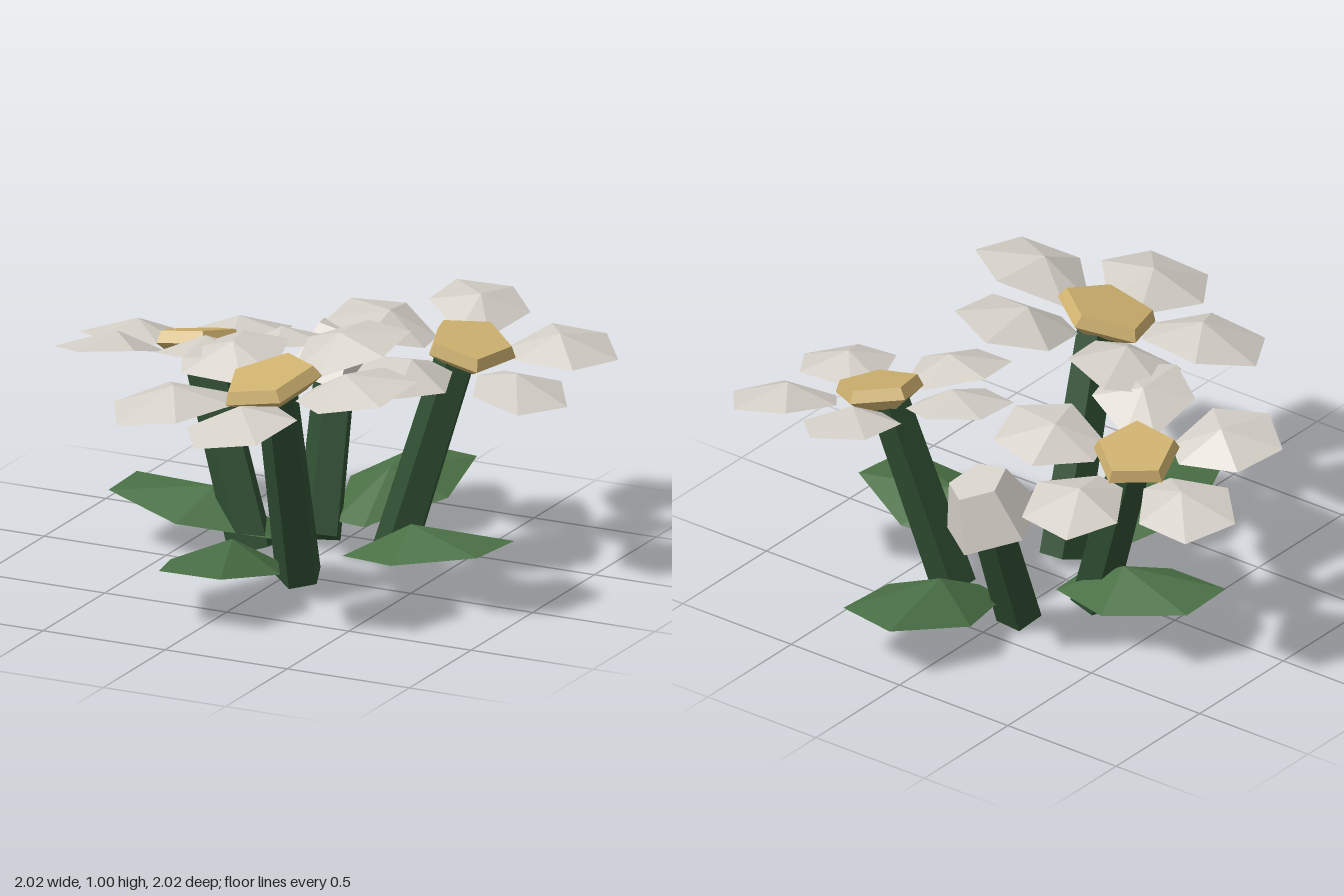
import * as THREE from 'three';

const mat = (name, color) => {
  const m = new THREE.MeshStandardMaterial({ color, flatShading: true });
  m.name = name;
  return m;
};
const V = (x, y, z) => new THREE.Vector3(x, y, z);

// Six-sided blade pointing along +x: raised point on top, inner edge dropped a little.
function bladeGeometry(length, width, height, apexX, drop) {
  const l = length / 2, w = width / 2;
  const rim = [[l, 0, -0.56 * w], [l, 0, 0.56 * w], [0, 0, w],
    [-l, -drop, 0.3 * w], [-l, -drop, -0.3 * w], [0, 0, -w]];
  const pos = [];
  rim.forEach((a, i) => {
    const b = rim[(i + 1) % rim.length];
    pos.push(...b, ...a, apexX, height, 0);
    pos.push(...a, ...b, 0, 0, 0);
  });
  const g = new THREE.BufferGeometry();
  g.setAttribute('position', new THREE.Float32BufferAttribute(pos, 3));
  g.computeVertexNormals();
  return g;
}

// Five-sided flower centre: tapered below, bevelled on top, one corner to the back.
function centreGeometry(r) {
  const profile = [[0, -0.05], [0.62 * r, -0.05], [r, -0.005], [0.88 * r, 0.04], [0, 0.04]];
  return new THREE.LatheGeometry(profile.map(p => new THREE.Vector2(...p)), 5).rotateY(Math.PI);
}

// Turns a mesh so its +x follows a compass angle within the plane of the given normal.
function orient(mesh, degrees, normal) {
  const t = THREE.MathUtils.degToRad(degrees);
  const n = normal.clone().normalize();
  const x = V(Math.cos(t), -(n.x * Math.cos(t) + n.z * Math.sin(t)) / n.y, Math.sin(t)).normalize();
  const z = x.clone().cross(n);
  mesh.quaternion.setFromRotationMatrix(new THREE.Matrix4().makeBasis(x, n, z));
  return x;
}

export function createModel() {
  const model = new THREE.Group();
  model.name = 'flowerClump';
  const petalMat = mat('petalWhite', 0xd3cec6);
  const yellowMat = mat('centreYellow', 0xcdb06e);
  const leafMat = mat('leafGreen', 0x4a7045);
  const stemMat = mat('stemGreen', 0x2f4e32);

  const add = (parent, name, geometry, material) => {
    const m = new THREE.Mesh(geometry, material);
    m.name = name;
    parent.add(m);
    return m;
  };

  // Straight five-sided stem between two points
  const stem = (parent, from, to) => {
    const d = to.clone().sub(from);
    const m = add(parent, 'stem', new THREE.CylinderGeometry(0.08, 0.088, d.length(), 5), stemMat);
    m.position.copy(from).addScaledVector(d, 0.5);
    m.quaternion.setFromUnitVectors(V(0, 1, 0), d.normalize());
  };

  // Open flowers: slope gives the tilt of the petal disc
  const flowers = [
    { name: 'frontFlower', base: V(0.09, 0.04, 0.09), top: V(0.14, 0.85, 0.37), at: V(0.14, 0.88, 0.42),
      slope: [0.14, -0.14], first: 9, step: 71, size: 0.43, reach: 0.365, disc: 0.195 },
    { name: 'leftFlower', base: V(-0.2, 0.04, -0.1), top: V(-0.45, 0.75, -0.2), at: V(-0.48, 0.775, -0.205),
      slope: [0.1, 0.17], first: -15, step: 72, size: 0.38, reach: 0.335, disc: 0.165 },
    { name: 'rightFlower', base: V(0.28, 0.04, -0.31), top: V(0.47, 0.8, -0.45), at: V(0.515, 0.82, -0.455),
      slope: [-0.16, -0.1], first: 33, step: 72, size: 0.375, reach: 0.345, disc: 0.17 },
  ];
  for (const f of flowers) {
    const g = new THREE.Group();
    g.name = f.name;
    model.add(g);
    stem(g, f.base, f.top);
    const normal = V(-f.slope[0], 1, -f.slope[1]);
    for (let i = 0; i < 5; i++) {
      const p = add(g, 'petal',
        bladeGeometry(f.size, f.size, f.size * 0.15, -0.015, f.size * 0.07), petalMat);
      const dir = orient(p, f.first + i * f.step, normal);
      p.position.copy(f.at).addScaledVector(dir, f.reach);
    }
    const c = add(g, 'flowerCentre', centreGeometry(f.disc), yellowMat);
    const tilt = V(-f.slope[0] * 1.4, 1, -f.slope[1] * 1.4).normalize();
    c.quaternion.setFromUnitVectors(V(0, 1, 0), tilt);
    c.position.copy(f.at);
  }

  // Closed bud on its own stem
  const bud = new THREE.Group();
  bud.name = 'bud';
  model.add(bud);
  stem(bud, V(-0.05, 0.04, -0.35), V(-0.11, 0.58, -0.6));
  const head = add(bud, 'budHead',
    new THREE.CylinderGeometry(0.115, 0.19, 0.2, 5).rotateY(Math.PI), petalMat);
  head.position.set(-0.12, 0.65, -0.64);
  head.quaternion.setFromUnitVectors(V(0, 1, 0), V(0.2, 1, -0.27).normalize());

  // Four leaves rising outward around the base
  const leaves = [
    ['frontLeaf', -0.03, 0.45, 88], ['backLeaf', 0.11, -0.68, -81],
    ['rightLeaf', 0.53, -0.05, 7], ['leftLeaf', -0.43, -0.14, 178],
  ];
  for (const [name, x, z, degrees] of leaves) {
    const t = THREE.MathUtils.degToRad(degrees);
    const m = add(model, name, bladeGeometry(0.64, 0.44, 0.1, -0.04, 0), leafMat);
    orient(m, degrees, V(-0.19 * Math.cos(t), 1, -0.19 * Math.sin(t)));
    m.position.set(x, 0.16, z);
  }
  return model;
}
